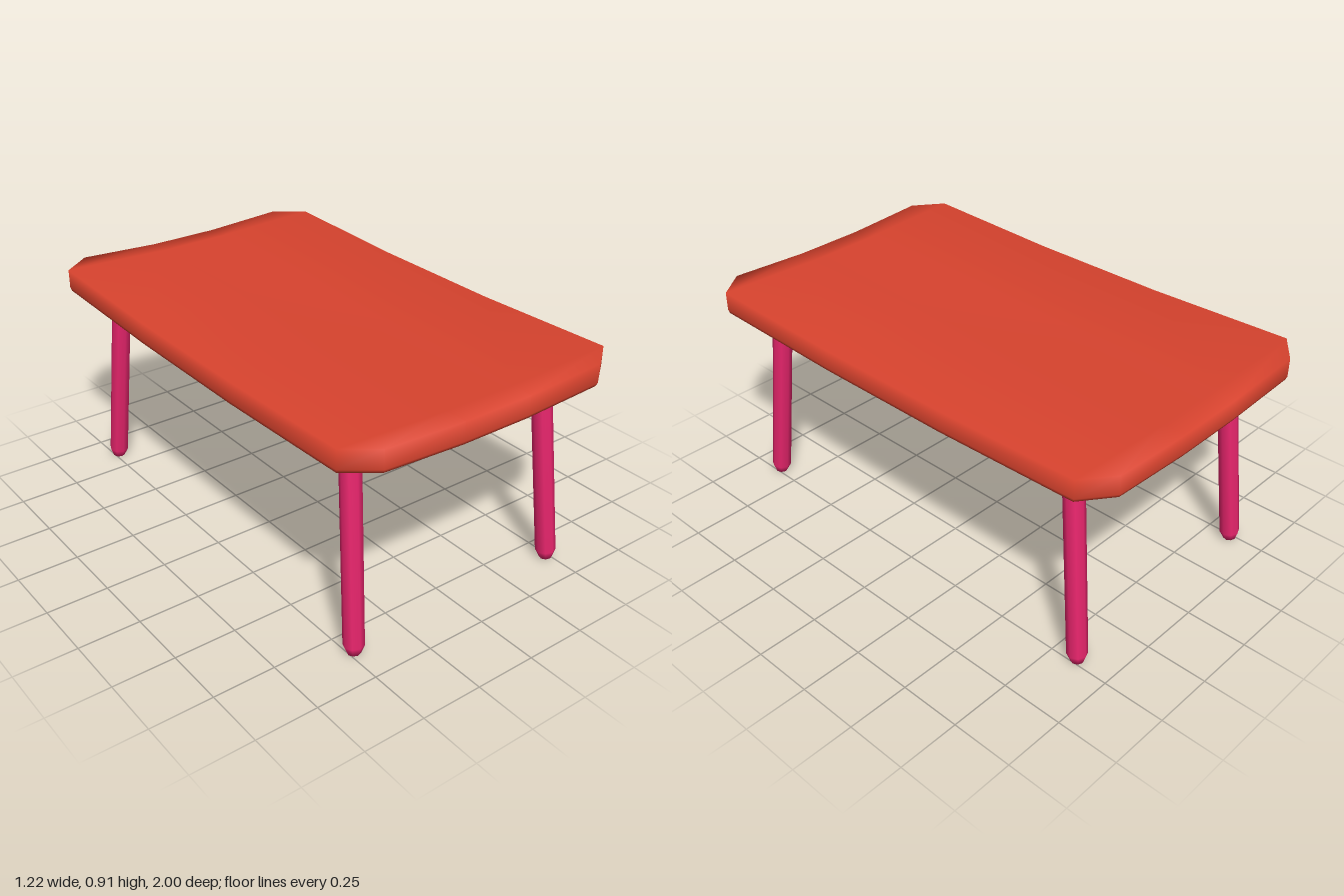
import * as THREE from 'three';
import { mergeVertices } from 'three/addons/utils/BufferGeometryUtils.js';

const topMaterial = new THREE.MeshStandardMaterial({ color: 0xd8432e });
const legMaterial = new THREE.MeshStandardMaterial({ color: 0xe5246b });

// Slab with cut corners, a shallow dip between raised corners and a slim lower bevel
function createTop() {
  const rows = [-1, -0.91, -0.3, 0.3, 0.91, 1];
  const levels = [0, 0.014, 0.09];
  const geometry = new THREE.BoxGeometry(3, 2, 5, 3, 2, 5);
  geometry.deleteAttribute('normal');
  geometry.deleteAttribute('uv');
  const p = geometry.attributes.position;
  for (let i = 0; i < p.count; i++) {
    const column = Math.round(p.getX(i) + 1.5);
    const level = Math.round(p.getY(i) + 1);
    const row = Math.round(p.getZ(i) + 2.5);
    const half = row === 0 || row === 5 ? 0.49 : 0.61;
    const inset = level === 0 ? 0.994 : 1;
    const outer = (column === 0 || column === 3) && row !== 2 && row !== 3;
    const x = [-half, -0.15, 0.15, half][column] * inset;
    const y = 0.8 + levels[level] + (outer ? 0.017 : 0);
    p.setXYZ(i, x, y, rows[row] * inset);
  }
  const smooth = mergeVertices(geometry);
  smooth.computeVertexNormals();
  const mesh = new THREE.Mesh(smooth, topMaterial);
  mesh.name = 'tableTop';
  return mesh;
}

// Round leg with a tapered foot, splayed towards its corner
function createLeg(sx, sz) {
  const foot = new THREE.Vector3(0.483 * sx, 0.003, 0.857 * sz);
  const head = new THREE.Vector3(0.445 * sx, 0.835, 0.768 * sz);
  const axis = head.clone().sub(foot);
  const length = axis.length();
  const profile = [[0, 0], [0.025, 0], [0.04, 0.035], [0.04, length], [0, length]]
    .map(([r, y]) => new THREE.Vector2(r, y));
  const mesh = new THREE.Mesh(new THREE.LatheGeometry(profile, 8), legMaterial);
  mesh.position.copy(foot);
  mesh.quaternion.setFromUnitVectors(new THREE.Vector3(0, 1, 0), axis.normalize());
  mesh.name = (sz > 0 ? 'front' : 'back') + (sx > 0 ? 'Left' : 'Right') + 'Leg';
  return mesh;
}

export function createModel() {
  const group = new THREE.Group();
  group.name = 'table';
  group.add(createTop());
  for (const sx of [-1, 1]) for (const sz of [-1, 1]) group.add(createLeg(sx, sz));
  return group;
}
